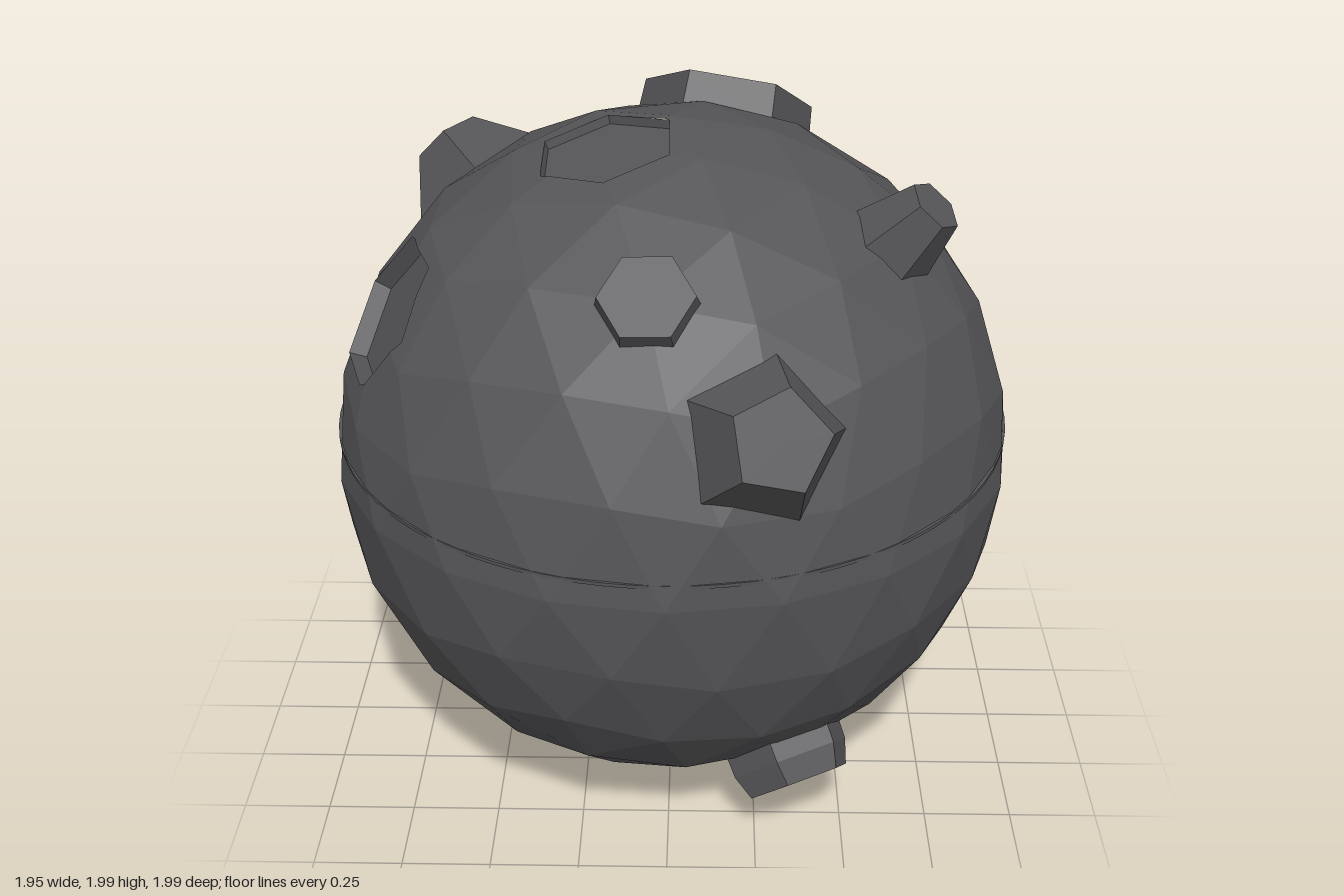
import * as THREE from 'three';
import { ConvexGeometry } from 'three/addons/geometries/ConvexGeometry.js';

const R = 0.975;
const V = (x, y, z) => new THREE.Vector3(x, y, z);

// Turn that stands a part's y axis along a direction, after a twist about itself
function stand(dir, twist) {
  const q = new THREE.Quaternion().setFromUnitVectors(V(0, 1, 0), V(...dir).normalize());
  return q.multiply(new THREE.Quaternion().setFromAxisAngle(V(0, 1, 0), twist));
}

function faceted(geo) {
  const g = geo.index ? geo.toNonIndexed() : geo;
  g.computeVertexNormals();
  return g;
}

// Keep the side of a polygon where sign * (n . p) is positive
function clip(poly, n, sign) {
  const out = [];
  poly.forEach((a, i) => {
    const b = poly[(i + 1) % poly.length];
    const da = sign * n.dot(a), db = sign * n.dot(b);
    if (da >= 0) out.push(a);
    if ((da > 0 && db < 0) || (da < 0 && db > 0)) out.push(a.clone().lerp(b, da / (da - db)));
  });
  return out;
}

// Cut a six-sided opening, widening from the ball's centre, out of the polygons
function cutOpening(polys, { dir, twist, radius, at }) {
  const q = stand(dir, twist);
  const axis = V(0, 1, 0).applyQuaternion(q);
  const corner = (k) => V(radius * Math.sin(k * Math.PI / 3), at, radius * Math.cos(k * Math.PI / 3)).applyQuaternion(q);
  const planes = [];
  for (let k = 0; k < 6; k++) {
    const n = corner(k).cross(corner(k + 1)).normalize();
    planes.push(n.dot(axis) < 0 ? n.negate() : n);
  }
  const out = [];
  for (const poly of polys) {
    if (!poly.some((p) => p.dot(axis) > 0.6)) { out.push(poly); continue; }
    let rest = poly;
    for (const n of planes) {
      const outer = clip(rest, n, -1);
      if (outer.length > 2) out.push(outer);
      rest = clip(rest, n, 1);
      if (rest.length < 3) break;
    }
  }
  return out;
}

// Faceted ball with openings
function ballGeometry(openings) {
  const coarse = new THREE.IcosahedronGeometry(1, 1).getAttribute('position');
  const ids = Array.from({ length: coarse.count }, (_, i) => i);
  const ball = new THREE.PolyhedronGeometry(Array.from(coarse.array), ids, R, 1);
  ball.rotateZ(-Math.atan(2 / (1 + Math.sqrt(5))));
  const p = ball.getAttribute('position');
  let polys = [];
  for (let i = 0; i < p.count; i += 3) {
    polys.push([0, 1, 2].map((k) => new THREE.Vector3().fromBufferAttribute(p, i + k)));
  }
  for (const o of openings) polys = cutOpening(polys, o);
  const pos = [];
  for (const poly of polys) {
    for (let k = 1; k < poly.length - 1; k++) {
      for (const v of [poly[0], poly[k], poly[k + 1]]) pos.push(v.x, v.y, v.z);
    }
  }
  const geo = new THREE.BufferGeometry();
  geo.setAttribute('position', new THREE.Float32BufferAttribute(pos, 3));
  geo.computeVertexNormals();
  return geo;
}

export function createModel() {
  const model = new THREE.Group();
  model.name = 'studdedBall';
  const body = new THREE.Group();
  body.name = 'body';
  body.position.set(0, R, -0.025);
  model.add(body);
  const rock = new THREE.MeshStandardMaterial({ color: 0x555558 });
  rock.name = 'darkGrey';

  const add = (name, geo, parent = body) => {
    const mesh = new THREE.Mesh(geo, rock);
    mesh.name = name;
    parent.add(mesh);
    return mesh;
  };
  // Many-sided part from a profile of [radius, distance from the ball's centre]
  const turned = (name, dir, sides, twist, profile) => {
    const pts = profile.map(([r, h]) => new THREE.Vector2(r, h));
    add(name, faceted(new THREE.LatheGeometry(pts, sides))).quaternion.copy(stand(dir, twist));
  };

  // Shallow six-sided recesses
  const recesses = [
    { name: 'topRecess', dir: [-0.18, 0.95, 0.125], twist: 0, radius: 0.2, floor: 0.925 },
    { name: 'sideRecess', dir: [-0.77, 0.49, 0.23], twist: 0.3, radius: 0.22, floor: 0.9 },
    { name: 'backRecess', dir: [0.3, -0.65, -0.66], twist: 0.2, radius: 0.22, floor: 0.9 },
    { name: 'bottomRecess', dir: [-0.33, -0.87, 0.26], twist: 0.5, radius: 0.21, floor: 0.9 },
  ].map((r) => ({ ...r, at: 0.95 }));

  const craterDir = [0.155, 0.86, -0.485];
  const craterTwist = Math.PI / 6;
  add('ball', ballGeometry([...recesses, { dir: craterDir, twist: craterTwist, radius: 0.19, at: 0.96 }]));

  for (const { name, dir, twist, radius, at, floor } of recesses) {
    turned(name, dir, 6, twist, [[radius, at], [radius * floor / at, floor], [0, floor]]);
  }

  // Raised ring and hollow studs
  turned('craterRing', craterDir, 6, craterTwist,
    [[0.26, 0.9], [0.25, 1.03], [0.15, 1.03], [0.14, 0.94], [0, 0.94]]);
  turned('hollowStud', [0.35, -0.74, 0.575], 6, 0.2,
    [[0.18, 0.85], [0.175, 1.0], [0.15, 1.07], [0.09, 1.07], [0.08, 0.99], [0, 0.99]]);
  turned('hollowCone', [-0.61, 0.65, -0.45], 6, 0.2,
    [[0.28, 0.89], [0.115, 1.12], [0.06, 1.12], [0.055, 1.04], [0, 1.04]]);

  // Solid studs
  turned('frontStud', [0.255, 0.43, 0.87], 5, Math.PI, [[0.25, 0.88], [0.135, 1.1], [0, 1.1]]);
  turned('shoulderStud', [0.62, 0.74, 0.26], 6, 0.3, [[0.145, 0.9], [0.08, 1.12], [0, 1.12]]);
  turned('lowerStud', [-0.65, -0.5, -0.55], 6, 0.2, [[0.26, 0.9], [0.13, 1.065], [0, 1.065]]);
  turned('flatStud', [-0.05, 0.72, 0.67], 6, 0.5, [[0.135, 0.94], [0.125, 0.998], [0, 0.998]]);

  // Stud split into wedges by radial slots
  const splitStud = new THREE.Group();
  splitStud.name = 'splitStud';
  splitStud.quaternion.copy(stand([0.67, 0.32, -0.66], 0));
  body.add(splitStud);
  const wedges = 8, half = Math.PI / wedges;
  const at = (r, h, a) => V(r * Math.sin(a), h, r * Math.cos(a));
  const wedge = new ConvexGeometry([
    at(0, 0.88, 0), at(0.24, 0.88, half), at(0.24, 0.88, -half),
    at(0, 1.09, 0), at(0.12, 1.08, half), at(0.12, 1.08, -half),
    at(0.2, 1.0, half), at(0.2, 1.0, -half),
  ]).translate(0, 0, 0.03);
  for (let i = 0; i < wedges; i++) add('wedge', wedge, splitStud).rotation.y = i * 2 * half;

  // Thin seam just breaking the surface, and a small tab on it
  const seam = add('seam', new THREE.CylinderGeometry(0.964, 0.964, 0.01, 80));
  seam.position.y = 0.1;
  seam.rotation.x = 0.034;
  const tab = add('tab', new THREE.BoxGeometry(0.17, 0.05, 0.16));
  tab.position.set(-0.755, 0.09, -0.62);
  tab.rotation.y = Math.atan2(-0.755, -0.62);

  return model;
}
